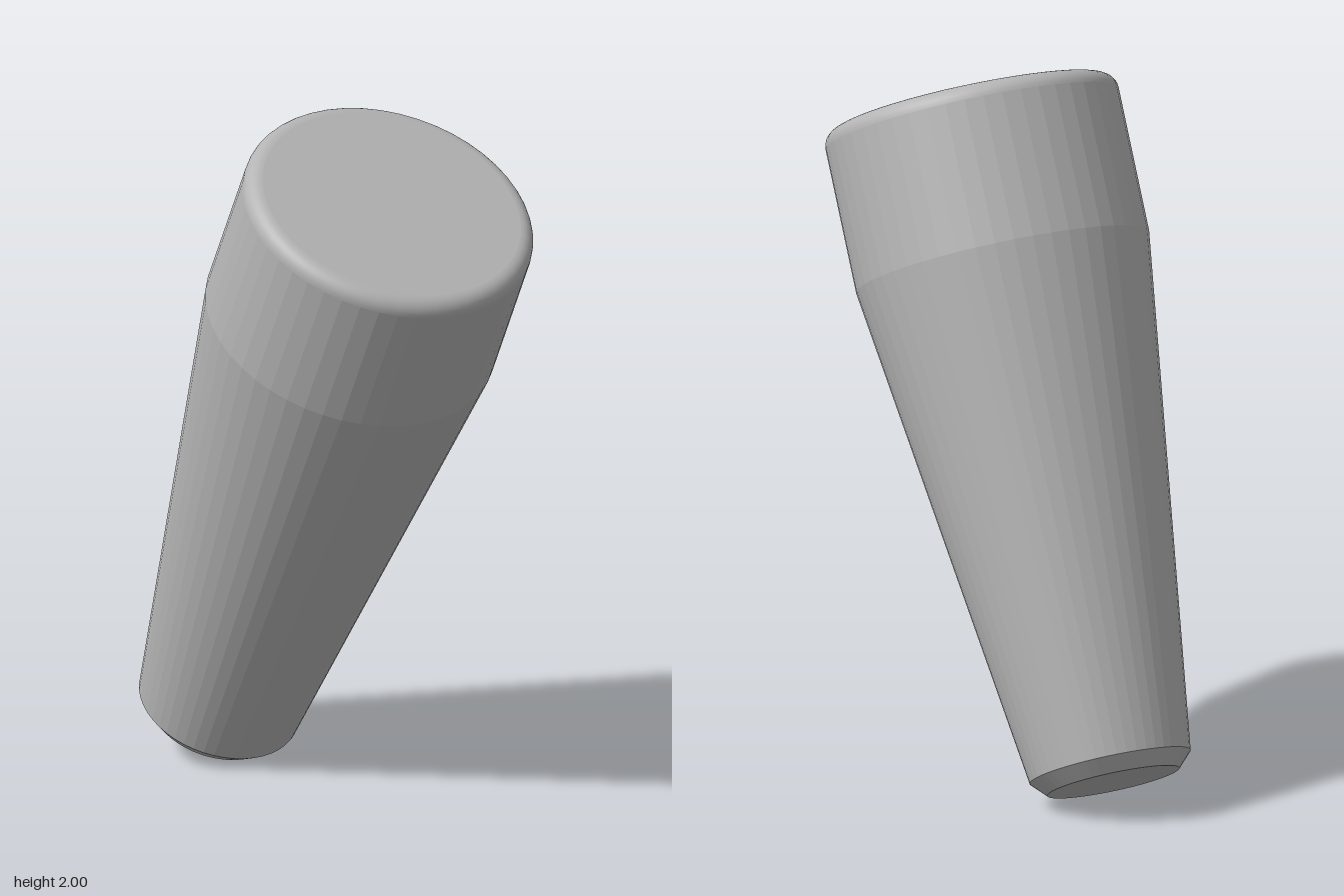
import * as THREE from 'three';

const SIDES = 48;
const TILT = THREE.MathUtils.degToRad(25);

// Surface of revolution through [radius, height] points, listed bottom to top
function revolve(points, faceted) {
  const profile = points.map(([r, y]) => new THREE.Vector2(r, y));
  const lathe = new THREE.LatheGeometry(profile, SIDES);
  if (!faceted) return lathe;
  const flat = lathe.toNonIndexed();
  flat.computeVertexNormals();
  return flat;
}

export function createModel() {
  const grey = new THREE.MeshStandardMaterial({ color: 0xb4b4b4 });
  grey.name = 'plain grey';

  const model = new THREE.Group();
  model.name = 'taperedPeg';
  const peg = new THREE.Group();
  peg.name = 'tiltedPeg';
  model.add(peg);

  const add = (name, points, faceted) => {
    const mesh = new THREE.Mesh(revolve(points, faceted), grey);
    mesh.name = name;
    peg.add(mesh);
  };

  const headRadius = 0.415, fillet = 0.045, top = 1.803;
  const tip = -0.137, rim = -0.094, seam = 1.348;

  // Flat foot and its chamfer
  add('foot', [[0, tip], [0.187, tip]], true);
  add('footChamfer', [[0.187, tip], [0.228, rim]], true);

  // Faceted tapering shaft and straight head
  add('shaft', [[0.228, rim], [headRadius, seam]], true);
  add('head', [[headRadius, seam], [headRadius, top - fillet]], true);

  // Smooth rounded edge around the top
  const arc = [];
  for (let i = 0; i <= 8; i++) {
    const a = (i / 8) * Math.PI / 2;
    arc.push([headRadius - fillet + fillet * Math.cos(a), top - fillet + fillet * Math.sin(a)]);
  }
  add('topFillet', arc, false);
  add('topFace', [[headRadius - fillet, top], [0, top]], true);

  // Lean the peg toward +x and settle it on the ground
  peg.rotation.z = -TILT;
  const offset = -0.484;
  peg.position.set(offset * Math.cos(TILT), -offset * Math.sin(TILT), 0);
  return model;
}
